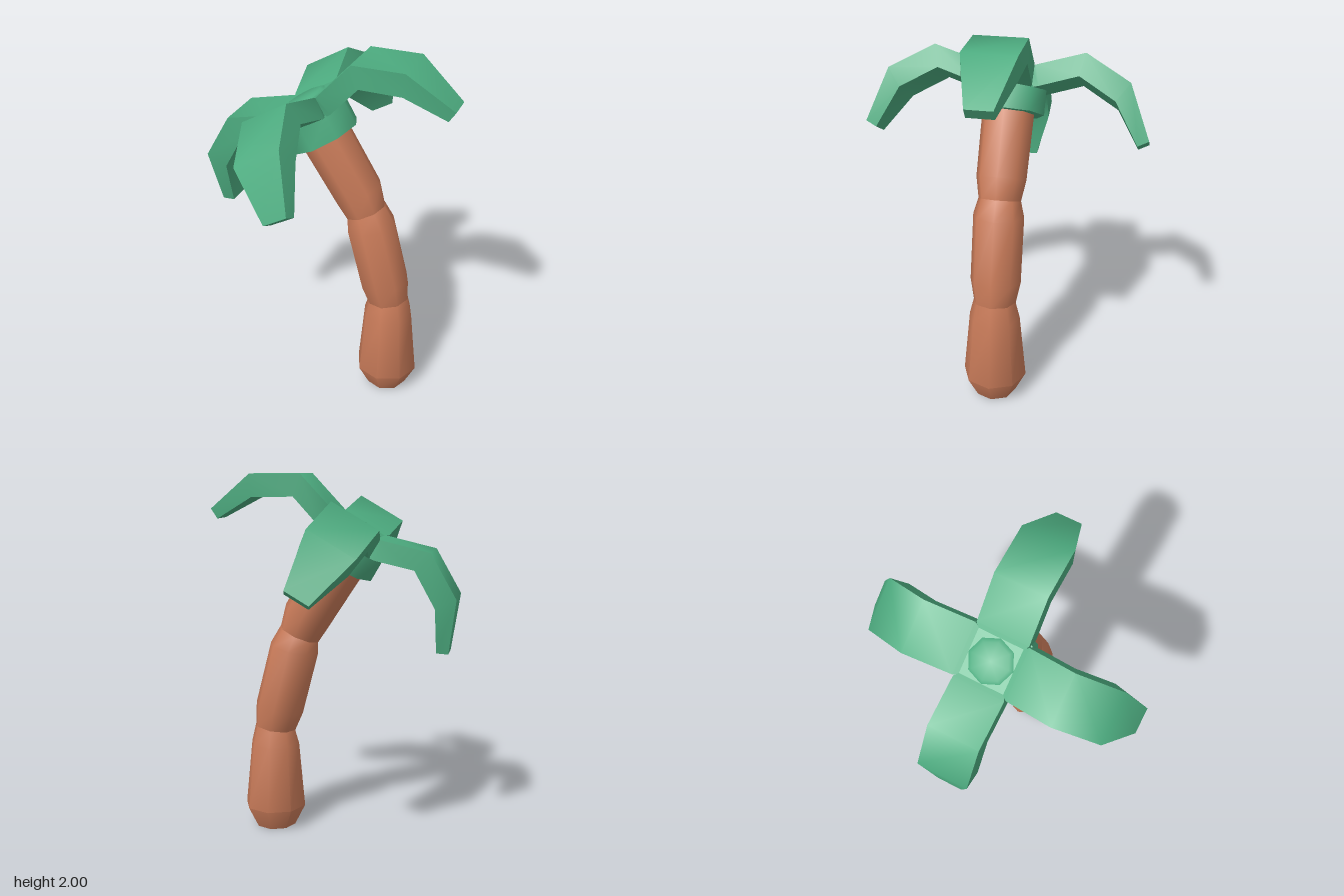
import * as THREE from 'three';
import { toCreasedNormals } from 'three/addons/utils/BufferGeometryUtils.js';

const bark = new THREE.MeshStandardMaterial({ name: 'bark', color: 0xc97b59 });
const leaf = new THREE.MeshStandardMaterial({ name: 'leaf green', color: 0x4dac80 });

// Closed skin through rings of points, with capped ends
function loft(rings, crease) {
  const n = rings[0].length;
  const index = [];
  const last = (rings.length - 1) * n;
  for (let r = 0; r < rings.length - 1; r++) {
    for (let i = 0; i < n; i++) {
      const a = r * n + i, b = r * n + (i + 1) % n;
      index.push(a, a + n, b, b, a + n, b + n);
    }
  }
  for (let i = 1; i < n - 1; i++) {
    index.push(0, i, i + 1, last, last + i + 1, last + i);
  }
  const geometry = new THREE.BufferGeometry();
  geometry.setAttribute('position', new THREE.Float32BufferAttribute(rings.flat(2), 3));
  geometry.setIndex(index);
  return toCreasedNormals(geometry, crease);
}

// Octagonal ring centred on (x, y), leaning by tilt around z
function octagon([x, y, r, tilt]) {
  return Array.from({ length: 8 }, (_, i) => {
    const a = i * Math.PI / 4, u = Math.cos(a) * r;
    return [x + u * Math.cos(tilt), y + u * Math.sin(tilt), Math.sin(a) * r];
  });
}

// Frond cross-section: upper edge, lower edge, half width
const frondSection = ([tx, ty, bx, by, w]) =>
  [[tx, ty, w], [tx, ty, -w], [bx, by, -w], [bx, by, w]];

function part(parent, name, geometry, material) {
  const mesh = new THREE.Mesh(geometry, material);
  mesh.name = name;
  parent.add(mesh);
  return mesh;
}

export function createModel() {
  const model = new THREE.Group();
  model.name = 'palmTree';

  // Leaning trunk of three bulging segments: x, y, radius, tilt
  const segments = {
    trunkBase: [[0.345, 0, 0.115, 0], [0.345, 0.12, 0.175, 0], [0.342, 0.49, 0.139, 0], [0.34, 0.583, 0.116, 0.15]],
    trunkMiddle: [[0.34, 0.583, 0.116, 0.15], [0.315, 0.695, 0.138, 0.18], [0.225, 1.045, 0.138, 0.19], [0.195, 1.125, 0.115, 0.41]],
    trunkTop: [[0.195, 1.125, 0.115, 0.41], [0.15, 1.23, 0.135, 0.46], [-0.035, 1.525, 0.14, 0.52], [-0.06, 1.57, 0.14, 0.52]],
  };
  for (const [name, rings] of Object.entries(segments)) {
    part(model, name, loft(rings.map(octagon), 0.9), bark);
  }

  // Crown, tilted with the trunk top
  const crown = new THREE.Group();
  crown.name = 'crown';
  crown.position.set(-0.128, 1.683, 0);
  crown.rotation.z = Math.PI / 6;
  model.add(crown);

  // Collar below the fronds
  const collar = new THREE.CylinderGeometry(0.193, 0.193, 0.133, 8);
  part(crown, 'collar', toCreasedNormals(collar, 0.9), leaf).position.y = -0.116;

  // Square hub with a low cap
  part(crown, 'hub', new THREE.BoxGeometry(0.25, 0.11, 0.25), leaf).position.y = -0.005;
  const cap = new THREE.CylinderGeometry(0.1, 0.12, 0.012, 8);
  part(crown, 'hubCap', toCreasedNormals(cap, 0.6), leaf).position.y = 0.056;

  // Four drooping fronds
  const frond = loft([
    [0.12, 0.05, 0.12, -0.06, 0.125],
    [0.145, 0.058, 0.17, -0.052, 0.14],
    [0.4, 0.135, 0.374, 0.012, 0.14],
    [0.64, -0.004, 0.57, -0.105, 0.14],
    [0.755, -0.288, 0.697, -0.317, 0.07],
  ].map(frondSection), 1.0);
  ['left', 'back', 'right', 'front'].forEach((side, i) => {
    part(crown, side + 'Frond', frond, leaf).rotation.y = i * Math.PI / 2;
  });

  return model;
}
